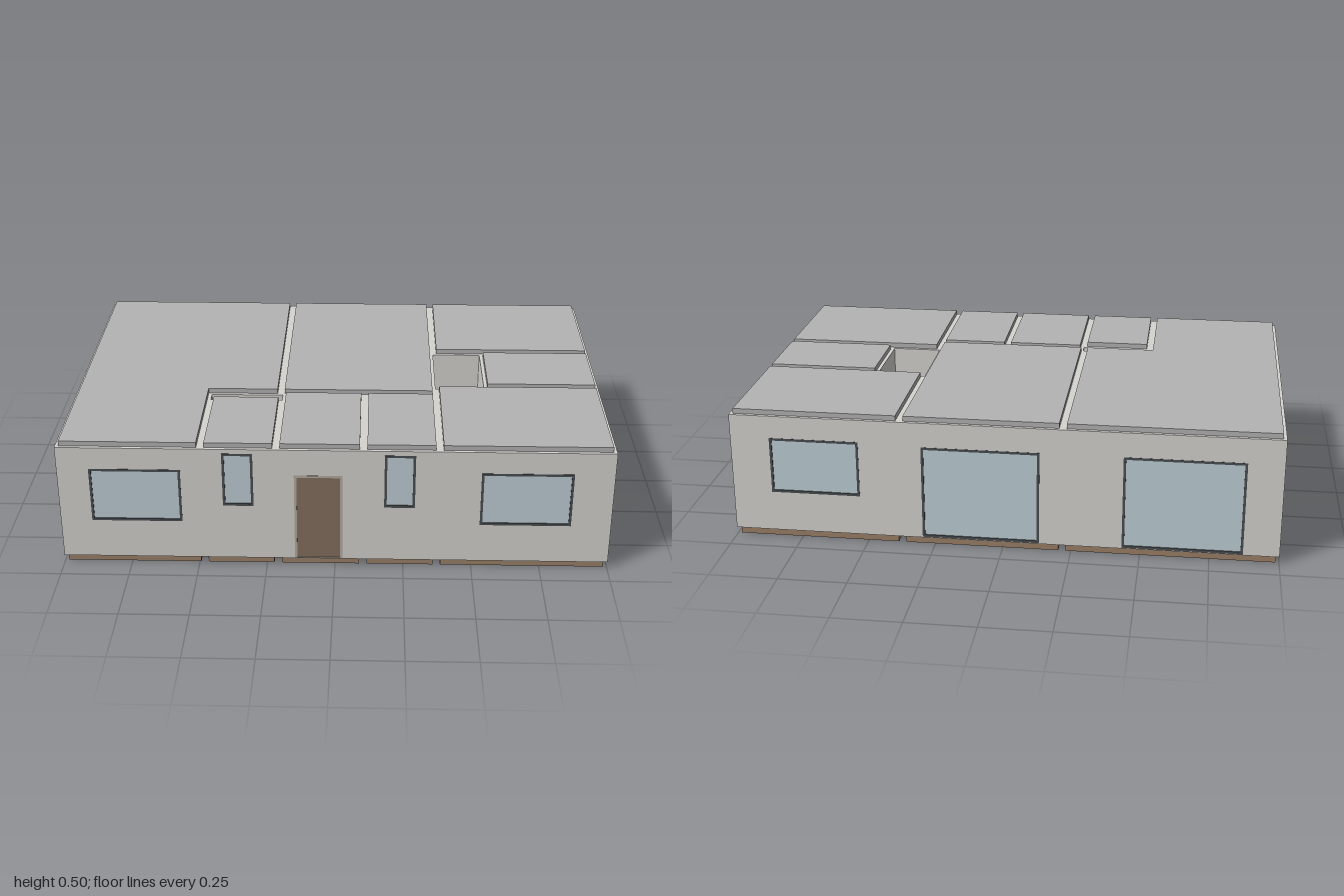
import * as THREE from 'three';

const HX = 1, HZ = 0.665;          // half plan size
const T = 0.026;                   // wall thickness
const Y0 = 0.028, Y1 = 0.478, TOP = 0.497;

const mat = (color) => new THREE.MeshStandardMaterial({ color });
const mats = {
  wall: mat(0xd6d4cf), ceiling: mat(0xb3b3b3), floor: mat(0x9b8068),
  frame: mat(0x4a4e52), glass: mat(0xbfd0d8), door: mat(0x84705e), trim: mat(0xb4aca0),
};

function add(parent, name, geometry, material) {
  const m = new THREE.Mesh(geometry, material);
  m.name = name;
  parent.add(m);
  return m;
}

function box(parent, name, material, x0, x1, y0, y1, z0, z1) {
  const m = add(parent, name, new THREE.BoxGeometry(x1 - x0, y1 - y0, z1 - z0), material);
  m.position.set((x0 + x1) / 2, (y0 + y1) / 2, (z0 + z1) / 2);
  return m;
}

function rectPath(Type, x0, x1, y0, y1) {
  const p = new Type();
  p.moveTo(x0, y0);
  p.lineTo(x1, y0);
  p.lineTo(x1, y1);
  p.lineTo(x0, y1);
  p.closePath();
  return p;
}

// Rectangular plate with rectangular holes, standing in the XY plane
function plate(outer, holes, depth) {
  const s = rectPath(THREE.Shape, ...outer);
  for (const h of holes) s.holes.push(rectPath(THREE.Path, ...h));
  return new THREE.ExtrudeGeometry(s, { depth, bevelEnabled: false });
}

// Outer wall facing local +z, with framed openings [x0, x1, y0, y1, isDoor]
function outerWall(name, half, dist, angle, openings) {
  const g = new THREE.Group();
  g.name = name;
  const rects = openings.map((o) => o.slice(0, 4));
  add(g, name + 'Panel', plate([-half, half, Y0, Y1], rects, T), mats.wall).position.z = dist - T;
  for (const [x0, x1, y0, y1, isDoor] of openings) {
    const w = 0.009;
    const inner = [x0 + w, x1 - w, isDoor ? y0 + 0.001 : y0 + w, y1 - w];
    const frame = plate([x0, x1, y0, y1], [inner], T + 0.002);
    add(g, isDoor ? 'doorFrame' : 'windowFrame', frame, isDoor ? mats.trim : mats.frame)
      .position.z = dist - T - 0.001;
    box(g, isDoor ? 'doorLeaf' : 'windowGlass', isDoor ? mats.door : mats.glass,
      ...inner, dist - T + 0.003, dist - 0.003);
  }
  g.rotation.y = angle;
  return g;
}

export function createModel() {
  const house = new THREE.Group();
  house.name = 'house';

  // Outer walls with windows, glazed doors and the front door
  const low = Y0 + 0.003;
  house.add(
    outerWall('frontWall', HX, HZ, 0, [
      [-0.885, -0.555, 0.18, 0.393],
      [-0.405, -0.294, 0.248, 0.461],
      [-0.147, 0.028, low, 0.376, true],
      [0.178, 0.289, 0.248, 0.461],
      [0.525, 0.855, 0.18, 0.393],
    ]),
    outerWall('backWall', HX, HZ, Math.PI, [
      [-0.855, -0.525, 0.18, 0.393],
      [-0.295, 0.135, low, 0.385],
      [0.435, 0.87, low, 0.385],
    ]),
    outerWall('leftWall', HZ - T, HX, Math.PI / 2, [[-0.005, 0.112, 0.248, 0.461]]),
    outerWall('rightWall', HZ - T, HX, -Math.PI / 2, [[-0.385, -0.08, low, 0.385]]),
  );

  // Rooms: x0, x1, z0, z1, inner walled sides (n back, s front, e +x, w -x)
  const X = HX - T / 2, Z = HZ - T / 2;
  const rooms = [
    ['livingRoom', -X, -0.231, -Z, 0.208, 'es'],
    ['diningRoom', -0.204, 0.36, -Z, -0.026, 'ew'],
    ['kitchen', -0.204, 0.36, -0.026, 0.208, 'esw'],
    ['backBedroom', 0.387, X, -Z, -0.178, 'sw'],
    ['bathroom', 0.574, X, -0.151, 0.141, 'nsw'],
    ['frontBedroom', 0.387, X, 0.168, Z, 'nw'],
    ['cornerBedroom', -X, -0.495, 0.208, Z, 'e'],
    ['washroom', -0.468, -0.224, 0.278, Z, 'new'],
    ['entrance', -0.197, 0.089, 0.235, Z, 'new'],
    ['utilityRoom', 0.116, 0.36, 0.235, Z, 'new'],
  ];
  const h = T / 2 + 0.0006;
  for (const [name, x0, x1, z0, z1, sides] of rooms) {
    const room = new THREE.Group();
    room.name = name;
    box(room, 'floorSlab', mats.floor, x0, x1, 0, Y0, z0, z1);
    box(room, 'ceilingSlab', mats.ceiling, x0, x1, Y1, TOP, z0, z1);
    // Partitions are centred on the edges of the room
    const walls = {
      n: [x0, x1, z0 - h, z0 + h],
      s: [x0, x1, z1 - h, z1 + h],
      w: [x0 - h, x0 + h, z0 - h, z1 + h],
      e: [x1 - h, x1 + h, z0 - h, z1 + h],
    };
    for (const side of sides) {
      const [a, b, c, d] = walls[side];
      box(room, 'partition', mats.wall, a, b, Y0, Y1, Math.max(c, T - HZ), Math.min(d, HZ - T));
    }
    house.add(room);
  }
  return house;
}
